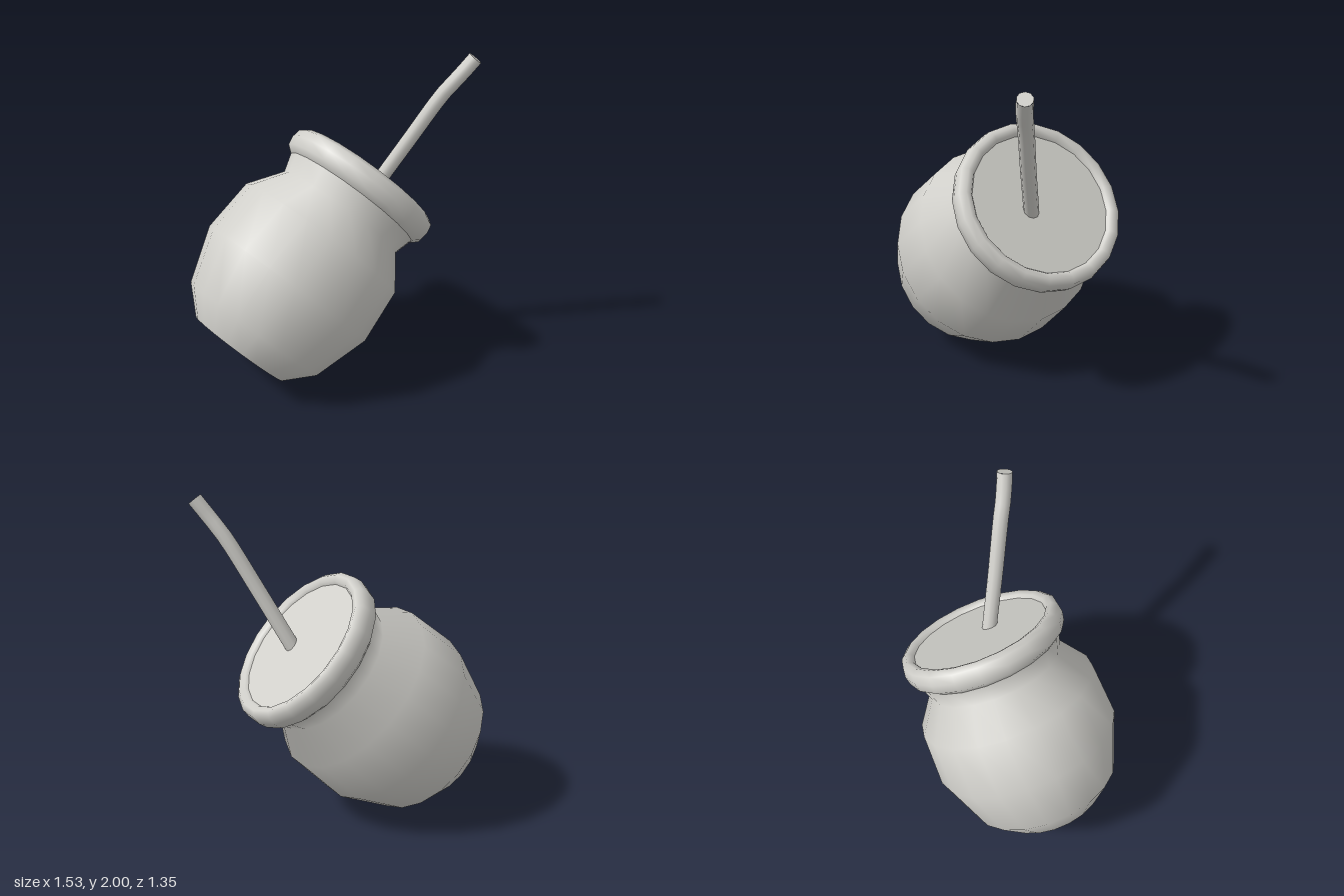
import * as THREE from 'three';

const SIDES = 20;

// Turned part from [radius, height] pairs, running bottom to top on the outside
function turned(name, profile, material) {
  const points = profile.map(([r, y]) => new THREE.Vector2(r, y));
  const mesh = new THREE.Mesh(new THREE.LatheGeometry(points, SIDES), material);
  mesh.name = name;
  return mesh;
}

export function createModel() {
  const model = new THREE.Group();
  model.name = 'gourdCup';
  const clay = new THREE.MeshStandardMaterial({ color: 0xd0cfca });
  clay.name = 'paleGrey';

  // Leaning cup, with its origin at the middle of the rim
  const cup = new THREE.Group();
  cup.name = 'cup';
  cup.position.set(0.36, 1.11, 0.06);
  cup.quaternion.setFromUnitVectors(
    new THREE.Vector3(0, 1, 0),
    new THREE.Vector3(0.7, 0.686, 0.2).normalize()
  );
  model.add(cup);

  // Round body narrowing into the neck
  cup.add(turned('body', [
    [0.335, -1.26], [0.49, -1.105], [0.605, -0.76], [0.58, -0.41],
    [0.435, -0.205], [0.475, -0.07]
  ], clay));

  // Flat base
  cup.add(turned('base', [[0, -1.25], [0.3, -1.25], [0.335, -1.26]], clay));

  // Thick rolled rim
  cup.add(turned('rim', [
    [0.45, -0.09], [0.475, -0.085], [0.515, -0.052], [0.525, 0.005],
    [0.515, 0.06], [0.48, 0.085], [0.445, 0.072], [0.432, 0.05]
  ], clay));

  // Filling just below the lip
  cup.add(turned('filling', [[0.434, 0.052], [0, 0.052]], clay));

  // Drinking straw, bent near the mouthpiece
  const path = new THREE.CatmullRomCurve3([
    [0.375, 1.07, 0.13], [0.4, 1.14, 0.165], [0.505, 1.445, 0.325],
    [0.615, 1.75, 0.485], [0.665, 1.86, 0.56], [0.722, 1.97, 0.627]
  ].map(p => new THREE.Vector3(...p)));
  const straw = new THREE.Mesh(new THREE.TubeGeometry(path, 12, 0.045, 10), clay);
  straw.name = 'straw';
  model.add(straw);

  // Closed end of the straw
  const tip = new THREE.Mesh(new THREE.CircleGeometry(0.045, 10), clay);
  tip.name = 'strawTip';
  tip.position.copy(path.getPoint(1));
  tip.quaternion.setFromUnitVectors(new THREE.Vector3(0, 0, 1), path.getTangent(1));
  model.add(tip);

  return model;
}
